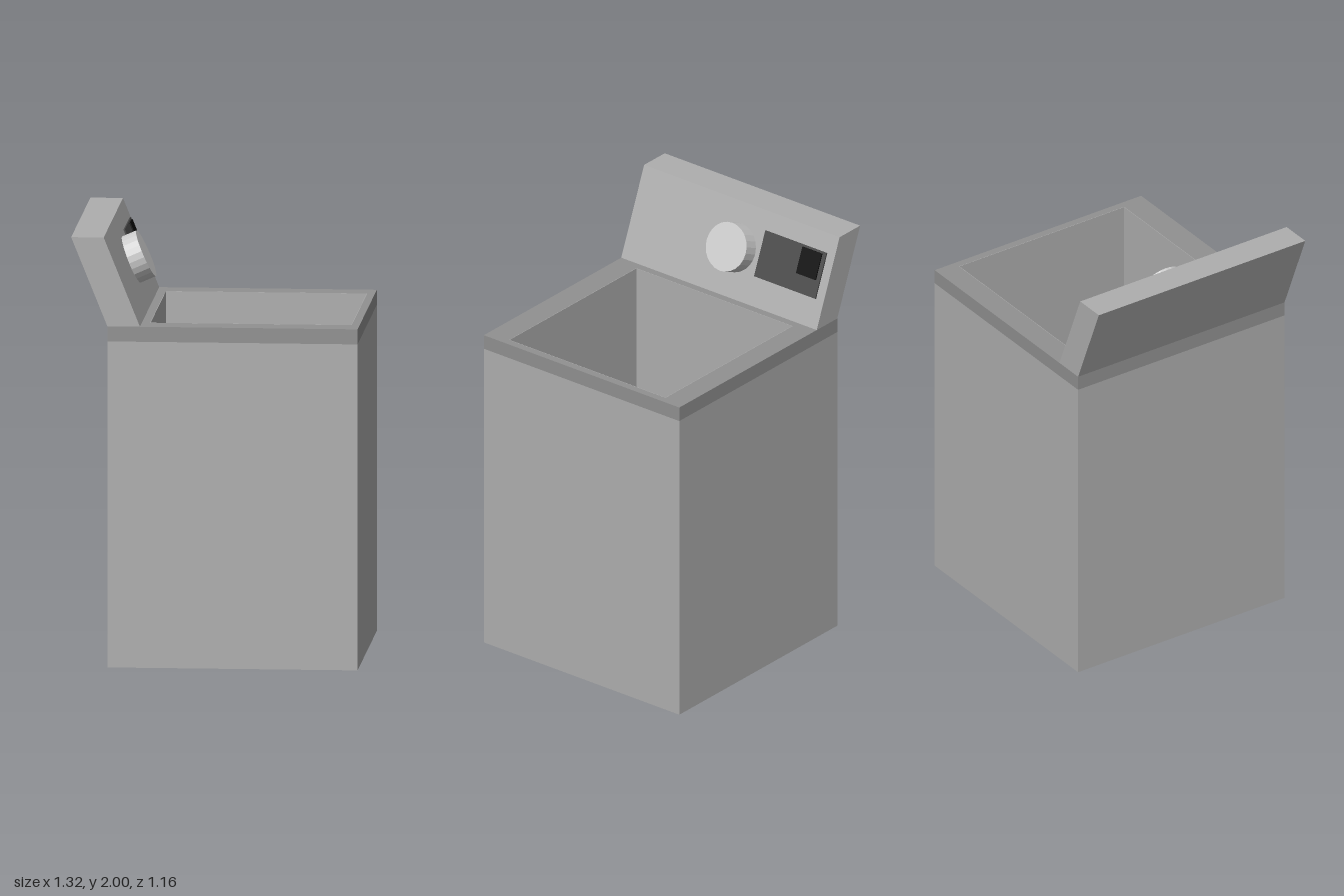
import * as THREE from 'three';

const flat = (color) => new THREE.MeshStandardMaterial({ color, flatShading: true });
const lightGrey = flat(0xcccccc);
const bodyGrey = flat(0xaeaeae);
const rimGrey = flat(0x919191);
const darkGrey = flat(0x4a4a4a);
const black = flat(0x080808);

function part(name, geometry, material) {
  const mesh = new THREE.Mesh(geometry, material);
  mesh.name = name;
  return mesh;
}

// Counter-clockwise corners of a rectangle [x0, x1, z0, z1], shrunk by an inset
function corners([x0, x1, z0, z1], inset = 0) {
  return [
    [x0 + inset, z1 - inset], [x1 - inset, z1 - inset],
    [x1 - inset, z0 + inset], [x0 + inset, z0 + inset],
  ].map(([x, z]) => new THREE.Vector2(x, -z));
}

// Upright rectangular tube between two heights
function frame(outer, inner, y0, y1) {
  const shape = new THREE.Shape(outer);
  shape.holes.push(new THREE.Path(inner));
  return new THREE.ExtrudeGeometry(shape, { depth: y1 - y0, bevelEnabled: false })
    .rotateX(-Math.PI / 2).translate(0, y0, 0);
}

export function createModel() {
  const model = new THREE.Group();
  model.name = 'washingMachine';

  const cabinet = [-0.493, 0.66, -0.578, 0.578];
  const opening = [-0.305, 0.624, -0.467, 0.458];
  const rimBottom = 1.517, top = 1.587, floor = 0.1;

  // Cabinet with a deep open tub and a darker rim around the mouth
  model.add(part('cabinet', frame(corners(cabinet), corners(opening), 0, rimBottom), bodyGrey));
  model.add(part('rim', frame(corners(cabinet), corners(opening), rimBottom, top), rimGrey));
  model.add(part('tubLining', frame(corners(opening), corners(opening, 0.002), 0, top), bodyGrey));
  const [x0, x1, z0, z1] = opening;
  const base = part('tubFloor', new THREE.BoxGeometry(x1 - x0, floor, z1 - z0), bodyGrey);
  base.position.set((x0 + x1) / 2, floor / 2, (z0 + z1) / 2);
  model.add(base);

  // Control panel leaning back along the -x edge
  const profile = new THREE.Shape([
    new THREE.Vector2(-0.493, top), new THREE.Vector2(-0.343, top),
    new THREE.Vector2(-0.51, 2), new THREE.Vector2(-0.66, 2),
  ]);
  const depth = cabinet[3] - cabinet[2];
  const panel = part('controlPanel', new THREE.ExtrudeGeometry(profile, { depth, bevelEnabled: false }), bodyGrey);
  panel.position.z = cabinet[2];
  model.add(panel);

  // Controls on the sloping face: local x points out, local y runs up the slope
  const controls = new THREE.Group();
  controls.name = 'controls';
  controls.position.set(-0.343, top, 0);
  controls.rotation.z = Math.atan2(0.167, 2 - top);

  const knob = part('knob', new THREE.CylinderGeometry(0.115, 0.115, 0.077, 24).rotateZ(-Math.PI / 2), lightGrey);
  knob.position.set(0.037, 0.233, -0.028);
  knob.rotation.z = 0.035;
  const display = part('display', new THREE.BoxGeometry(0.02, 0.22, 0.362), darkGrey);
  display.position.set(-0.003, 0.246, -0.352);
  const screen = part('screen', new THREE.BoxGeometry(0.02, 0.127, 0.115), black);
  screen.position.set(0.003, 0.283, -0.455);
  controls.add(knob, display, screen);
  model.add(controls);

  return model;
}
